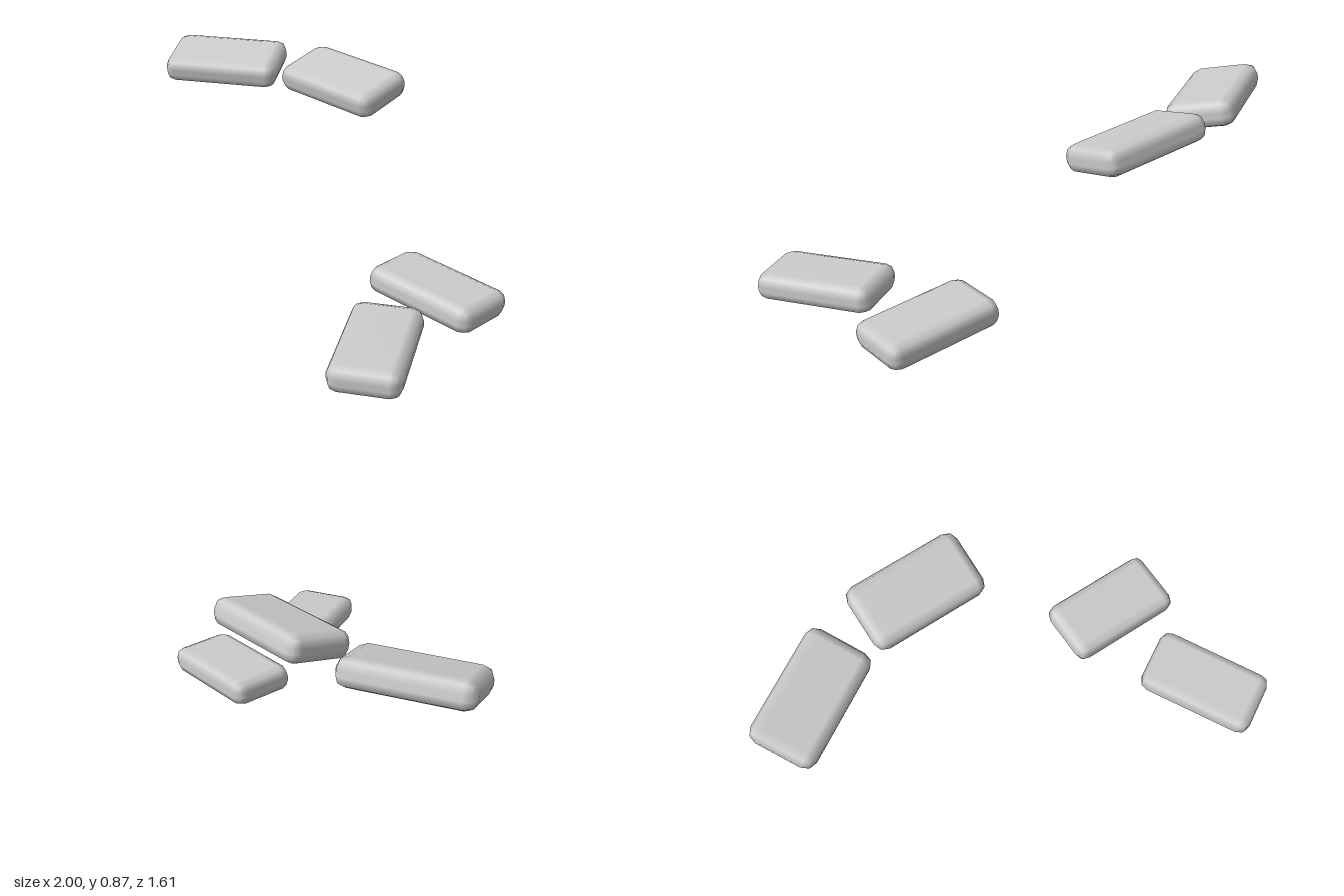
import * as THREE from 'three';
import { RoundedBoxGeometry } from 'three/addons/geometries/RoundedBoxGeometry.js';

export function createModel() {
  const model = new THREE.Group();
  const material = new THREE.MeshStandardMaterial({ color: 0xcccccc });
  // one softly bevelled slab, shared by all four pads
  const slab = new RoundedBoxGeometry(0.56, 0.125, 0.31, 1, 0.05);
  const deg = THREE.MathUtils.degToRad;

  // yaw turns the slab in plan, roll lifts its back edge, pitch lifts its left end
  function addPad(name, position, yaw, roll, pitch) {
    const pad = new THREE.Mesh(slab, material);
    pad.name = name;
    pad.position.set(...position);
    pad.rotation.set(deg(roll), deg(yaw), deg(pitch), 'YXZ');
    model.add(pad);
  }

  // raised pair at the back
  addPad('upperRightPad', [-0.7, 0.775, -0.6], 15, 14, 0);
  addPad('upperLeftPad', [-0.05, 0.775, -0.6], -15, 14, -3.5);
  // low pair at the side
  addPad('lowerBackPad', [0.7, 0.08, -0.08], -14.5, 0, -3.6);
  addPad('lowerFrontPad', [0.697, 0.08, 0.507], -75, 0, -3.5);

  return model;
}
